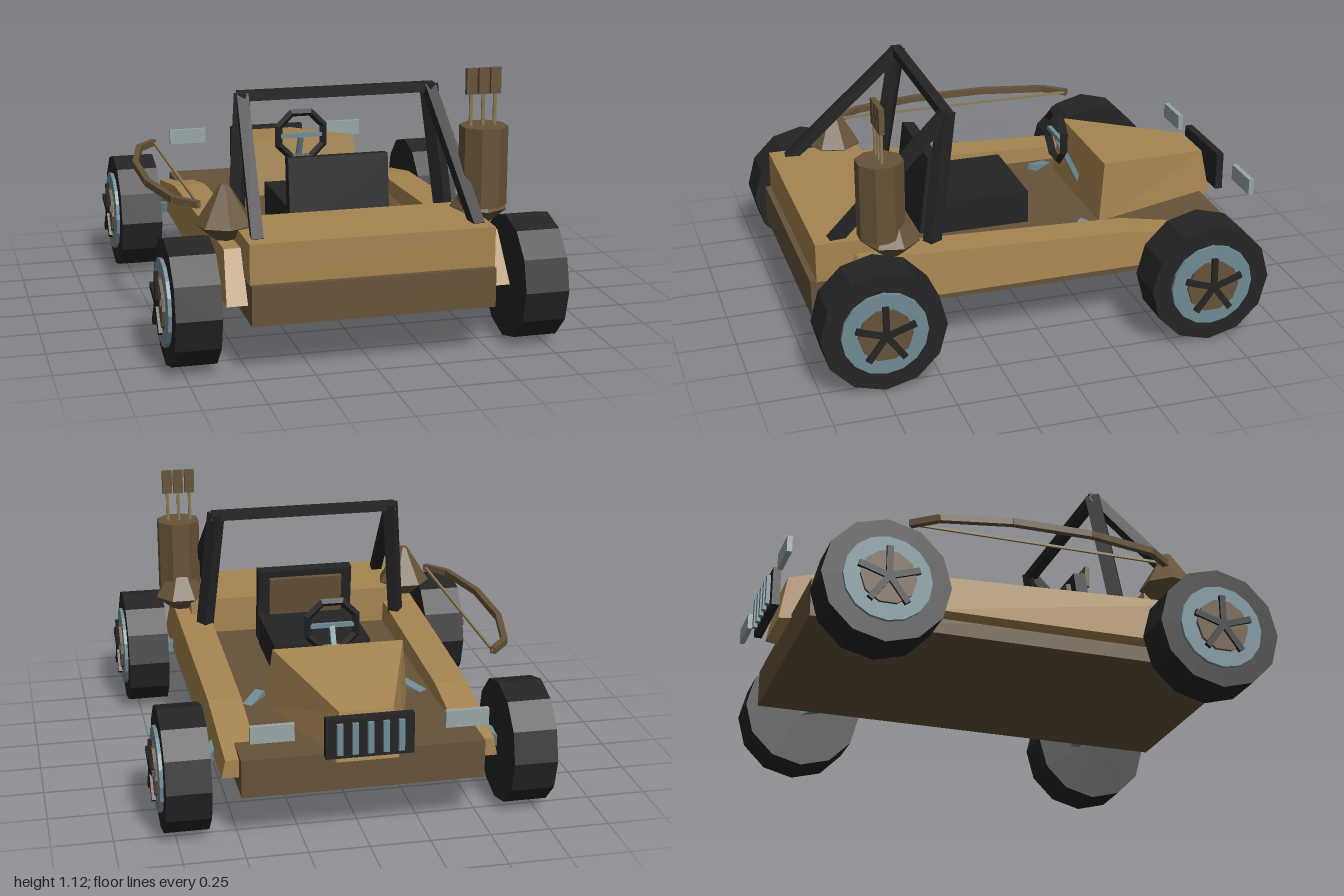
import * as THREE from 'three';

const paint = (name, color) => {
  const m = new THREE.MeshStandardMaterial({ color });
  m.name = name;
  return m;
};

export function createModel() {
  const tan = paint('tan body', 0xa68450);
  const brown = paint('dark brown', 0x665238);
  const black = paint('black', 0x242424);
  const steel = paint('blue steel', 0x708b95);
  const pale = paint('pale lamp', 0x98a5a5);
  const cord = paint('straw', 0x8e7c58);

  const car = new THREE.Group();
  car.name = 'buggy';
  const V = (x, y, z) => new THREE.Vector3(x, y, z);

  // Faceted mesh: every face keeps its own normal
  function add(name, geo, mat, x = 0, y = 0, z = 0, parent = car) {
    const g = geo.index ? geo.toNonIndexed() : geo;
    g.computeVertexNormals();
    const mesh = new THREE.Mesh(g, mat);
    mesh.name = name;
    mesh.position.set(x, y, z);
    parent.add(mesh);
    return mesh;
  }
  // Box given by its limits
  function box(name, mat, x0, x1, y0, y1, z0, z1, parent) {
    return add(name, new THREE.BoxGeometry(x1 - x0, y1 - y0, z1 - z0), mat,
      (x0 + x1) / 2, (y0 + y1) / 2, (z0 + z1) / 2, parent);
  }
  // Box whose corners (-1..1 on each axis) are moved by a rule
  function shaped(name, mat, depthSegments, rule) {
    const g = new THREE.BoxGeometry(2, 2, 2, 1, 1, depthSegments);
    const p = g.attributes.position;
    for (let i = 0; i < p.count; i++) {
      p.setXYZ(i, ...rule(p.getX(i), p.getY(i), p.getZ(i)));
    }
    return add(name, g, mat);
  }
  // Square bar between two points
  function bar(name, mat, a, b, w, h = w) {
    const m = add(name, new THREE.BoxGeometry(w, h, a.distanceTo(b)), mat);
    m.position.copy(a).add(b).multiplyScalar(0.5);
    m.lookAt(b);
    return m;
  }

  // Body
  box('floorPan', brown, -0.498, 0.498, 0.21, 0.372, -0.89, 0.97);
  box('rearDeck', tan, -0.5, 0.5, 0.37, 0.535, 0.545, 0.945);
  shaped('hood', tan, 1, (u, v, w) => v > 0
    ? [u * (w > 0 ? 0.28 : 0.11), w > 0 ? 0.628 : 0.555, w > 0 ? -0.375 : -0.905]
    : [u * (w > 0 ? 0.31 : 0.127), 0.355, w > 0 ? -0.342 : -0.942]);
  for (const s of [1, -1]) {
    shaped('sidePod', tan, 2, (u, v, w) => {
      const i = Math.round(w) + 1;
      const outer = u * s > 0;
      const x = outer ? [0.568, 0.573, 0.583][i] - (v > 0 ? 0.015 : 0) : (v > 0 ? 0.417 : 0.405);
      return [s * x, v > 0 ? [0.35, 0.43, 0.475][i] : 0.275,
        [-0.83, -0.4, v > 0 ? 0.78 : 0.9][i]];
    });
  }

  // Grille and lamps
  box('grille', black, -0.178, 0.178, 0.39, 0.56, -0.983, -0.95);
  for (let i = -2; i <= 2; i++) {
    const x = i * 0.062;
    box('grilleSlat', steel, x - 0.012, x + 0.012, 0.41, 0.54, -1, -0.982);
  }
  for (const s of [1, -1]) {
    add('headlamp', new THREE.BoxGeometry(0.175, 0.07, 0.022), pale, s * 0.39, 0.522, -0.98);
  }

  // Seat
  box('seatBase', black, -0.215, 0.215, 0.37, 0.515, -0.05, 0.36);
  const back = new THREE.Group();
  back.name = 'seatBack';
  back.position.set(0, 0.57, 0.386);
  back.rotation.x = -0.12;
  car.add(back);
  box('seatBackFrame', black, -0.215, 0.215, -0.19, 0.155, -0.027, 0.027, back);
  box('seatBackCushion', brown, -0.165, 0.165, -0.05, 0.125, -0.048, -0.026, back);

  // Steering
  const rim = new THREE.TorusGeometry(0.112, 0.018, 4, 8);
  rim.rotateZ(Math.PI / 8);
  add('steeringWheel', rim, black, 0, 0.67, -0.25);
  bar('steeringColumn', steel, V(0, 0.665, -0.25), V(0, 0.42, -0.37), 0.022);
  bar('steeringSpoke', steel, V(-0.1, 0.67, -0.25), V(0.1, 0.67, -0.25), 0.018);

  // Roll cage
  bar('rollBarTop', black, V(-0.42, 0.995, 0.365), V(0.42, 0.995, 0.365), 0.045, 0.04);
  for (const s of [1, -1]) {
    bar('rollBarLeg', black, V(s * 0.4, 1.005, 0.365), V(s * 0.452, 0.44, 0.448), 0.05, 0.062);
    bar('rollBarStay', black, V(s * 0.4, 0.995, 0.365), V(s * 0.452, 0.52, 0.865), 0.048);
  }

  // Wheels
  const disc = (r, x0, x1, n) => {
    const g = new THREE.CylinderGeometry(r, r, x1 - x0, n);
    g.rotateZ(Math.PI / 2);
    g.translate((x0 + x1) / 2, 0, 0);
    return g;
  };
  for (const s of [1, -1]) {
    for (const z of [0.74, -0.66]) {
      const wheel = new THREE.Group();
      wheel.name = 'wheel';
      wheel.position.set(0, 0.262, z);
      wheel.rotation.y = s > 0 ? 0 : Math.PI;
      car.add(wheel);
      add('tyre', disc(0.26, 0.617, 0.8, 12), black, 0, 0, 0, wheel);
      add('wheelRim', disc(0.178, 0.79, 0.815, 16), steel, 0, 0, 0, wheel);
      add('hub', disc(0.113, 0.81, 0.828, 10), brown, 0, 0, 0, wheel);
      for (let k = 0; k < 5; k++) {
        const g = new THREE.BoxGeometry(0.016, 0.132, 0.026);
        g.translate(0.831, 0.062, 0);
        g.rotateX(k * Math.PI * 0.4);
        add('spoke', g, black, 0, 0, 0, wheel);
      }
    }
    // Suspension arms
    bar('frontArm', steel, V(s * 0.64, 0.26, -0.665), V(s * 0.31, 0.375, -0.245), 0.045);
    bar('rearArm', steel, V(s * 0.64, 0.26, 0.66), V(s * 0.45, 0.32, 0.66), 0.045);

    // Side mounts
    const mount = new THREE.LatheGeometry([
      [0, 0.475], [0.05, 0.48], [0.121, 0.54], [0.018, 0.702], [0, 0.702],
    ].map(([r, y]) => new THREE.Vector2(r, y)), 7);
    add('sideMount', mount, brown, s * 0.535, 0, 0.64);
  }

  // Quiver with three arrows
  const can = new THREE.CylinderGeometry(0.1, 0.1, 0.33, 8);
  can.rotateY(Math.PI / 8);
  add('quiver', can, brown, 0.535, 0.725, 0.68);
  for (const x of [0.478, 0.53, 0.58]) {
    add('arrowShaft', new THREE.CylinderGeometry(0.008, 0.008, 0.16, 6), cord, x, 0.95, 0.68);
    add('arrowFletching', new THREE.BoxGeometry(0.044, 0.106, 0.022), brown, x, 1.073, 0.68);
  }

  // Bow and its string
  const bow = [[-0.63, -0.525], [-0.712, -0.425], [-0.772, -0.14], [-0.772, 0.2],
    [-0.712, 0.49], [-0.63, 0.59]].map(([x, z]) => V(x, 0.61, z));
  for (let i = 0; i + 1 < bow.length; i++) bar('bowLimb', brown, bow[i], bow[i + 1], 0.026, 0.028);
  bar('bowString', cord, bow[0], bow[5], 0.01);

  return car;
}
